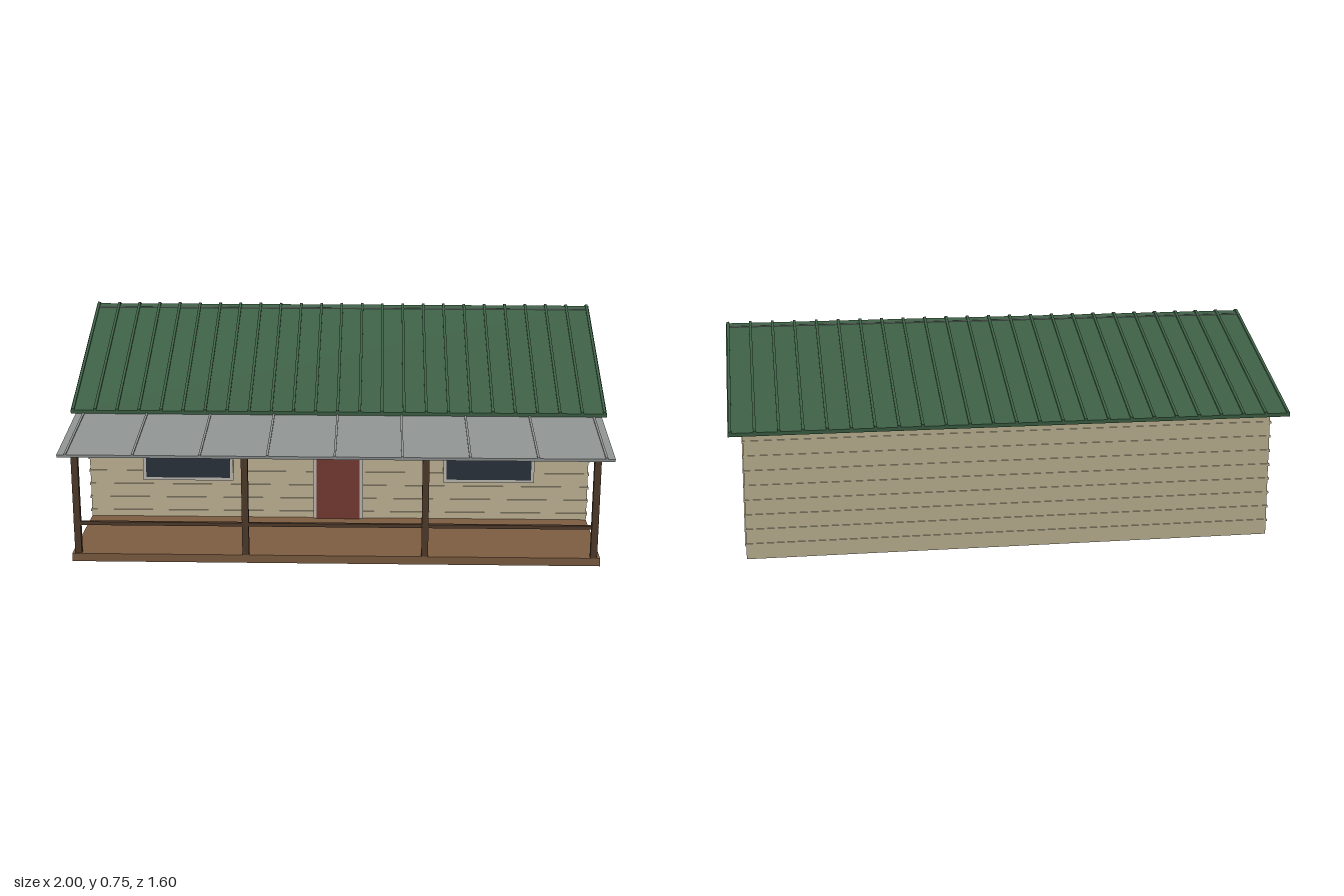
import * as THREE from 'three';

const paint = (name, color) => {
  const m = new THREE.MeshStandardMaterial({ color });
  m.name = name;
  return m;
};

export function createModel() {
  const house = new THREE.Group();
  house.name = 'house';

  const siding = paint('tan siding', 0xc4b899);
  const green = paint('green metal roof', 0x3d6045);
  const grey = paint('grey porch metal', 0x8f9392);
  const trim = paint('pale trim', 0xbfbdb4);
  const glass = paint('dark glass', 0x2b333c);
  const red = paint('red door', 0x783a34);
  const deckWood = paint('deck wood', 0x7d5d42);
  const postWood = paint('dark post wood', 0x4f3c2b);

  const add = (name, geometry, material, parent = house) => {
    const mesh = new THREE.Mesh(geometry, material);
    mesh.name = name;
    parent.add(mesh);
    return mesh;
  };
  const box = (name, w, h, d, x, y, z, material, parent) => {
    const mesh = add(name, new THREE.BoxGeometry(w, h, d), material, parent);
    mesh.position.set(x, y, z);
    return mesh;
  };
  // Prism along x from a (z, y) outline
  const prism = (name, points, length, x, material, parent) => {
    const shape = new THREE.Shape(points.map(([z, y]) => new THREE.Vector2(z, y)));
    const g = new THREE.ExtrudeGeometry(shape, { depth: length, bevelEnabled: false });
    g.translate(0, 0, -length / 2).rotateY(-Math.PI / 2);
    const mesh = add(name, g, material, parent);
    mesh.position.x = x;
    return mesh;
  };

  // Walls with gables, ringed by raised siding laps
  const front = 0.375, back = -0.73, mid = (front + back) / 2;
  prism('walls', [[back, 0], [front, 0], [front, 0.47], [mid, 0.72], [back, 0.47]], 1.9, 0, siding);
  const laps = new THREE.Group();
  laps.name = 'sidingLaps';
  house.add(laps);
  for (let i = 1; i <= 8; i++) {
    box('sidingLap', 1.908, 0.008, front - back + 0.008, 0, i * 0.053, mid, siding, laps);
  }

  // Gable roof, standing ribs and ridge cap
  const half = 0.621, eave = 0.473, ridge = 0.749;
  const chevron = (low, high) => [
    [mid - half, eave + low], [mid, ridge + low], [mid + half, eave + low],
    [mid + half, eave + high], [mid, ridge + high], [mid - half, eave + high],
  ];
  prism('roof', chevron(-0.013, 0), 2, 0, green);
  const ribs = new THREE.Group();
  ribs.name = 'roofRibs';
  house.add(ribs);
  for (let i = 0; i <= 24; i++) {
    prism('roofRib', chevron(-0.002, 0.006), 0.01, -0.992 + i * 1.984 / 24, green, ribs);
  }
  box('ridgeCap', 1.998, 0.012, 0.052, 0, 0.735, mid, grey);

  // Porch roof with seams
  const porchSlab = (low, high) => [
    [0.362, 0.47 + low], [0.803, 0.413 + low], [0.803, 0.413 + high], [0.362, 0.47 + high],
  ];
  prism('porchRoof', porchSlab(-0.01, 0), 1.964, 0, grey);
  for (let i = 0; i <= 8; i++) {
    prism('porchRoofSeam', porchSlab(-0.002, 0.004), 0.008, -0.952 + i * 0.238, grey);
  }

  // Deck, posts and rail
  box('porchDeck', 1.9, 0.03, 0.398, 0, 0.015, 0.574, deckWood);
  for (const x of [-0.927, -0.322, 0.322, 0.927]) {
    box('porchPost', 0.024, 0.377, 0.02, x, 0.2185, 0.762, postWood);
  }
  box('porchRail', 1.88, 0.013, 0.013, 0, 0.144, 0.762, postWood);

  // Framed opening facing +z, built around its own centre
  const framed = (name, w, h, border, fill) => {
    const g = new THREE.Group();
    g.name = name;
    box('frame', w, h, 0.01, 0, 0, 0.005, trim, g);
    box('panel', w - border * 2, h - border * 2, 0.006, 0, 0, 0.01, fill, g);
    house.add(g);
    return g;
  };
  for (const s of [-1, 1]) {
    framed('frontWindow', 0.345, 0.2, 0.012, glass).position.set(s * 0.573, 0.28, front);
  }
  const sideWindow = framed('sideWindow', 0.25, 0.14, 0.012, glass);
  sideWindow.position.set(-0.95, 0.282, -0.4);
  sideWindow.rotation.y = -Math.PI / 2;

  // Front door
  box('doorFrame', 0.19, 0.34, 0.01, 0, 0.2, front + 0.005, trim);
  box('door', 0.165, 0.315, 0.006, 0, 0.1875, front + 0.01, red);

  return house;
}
